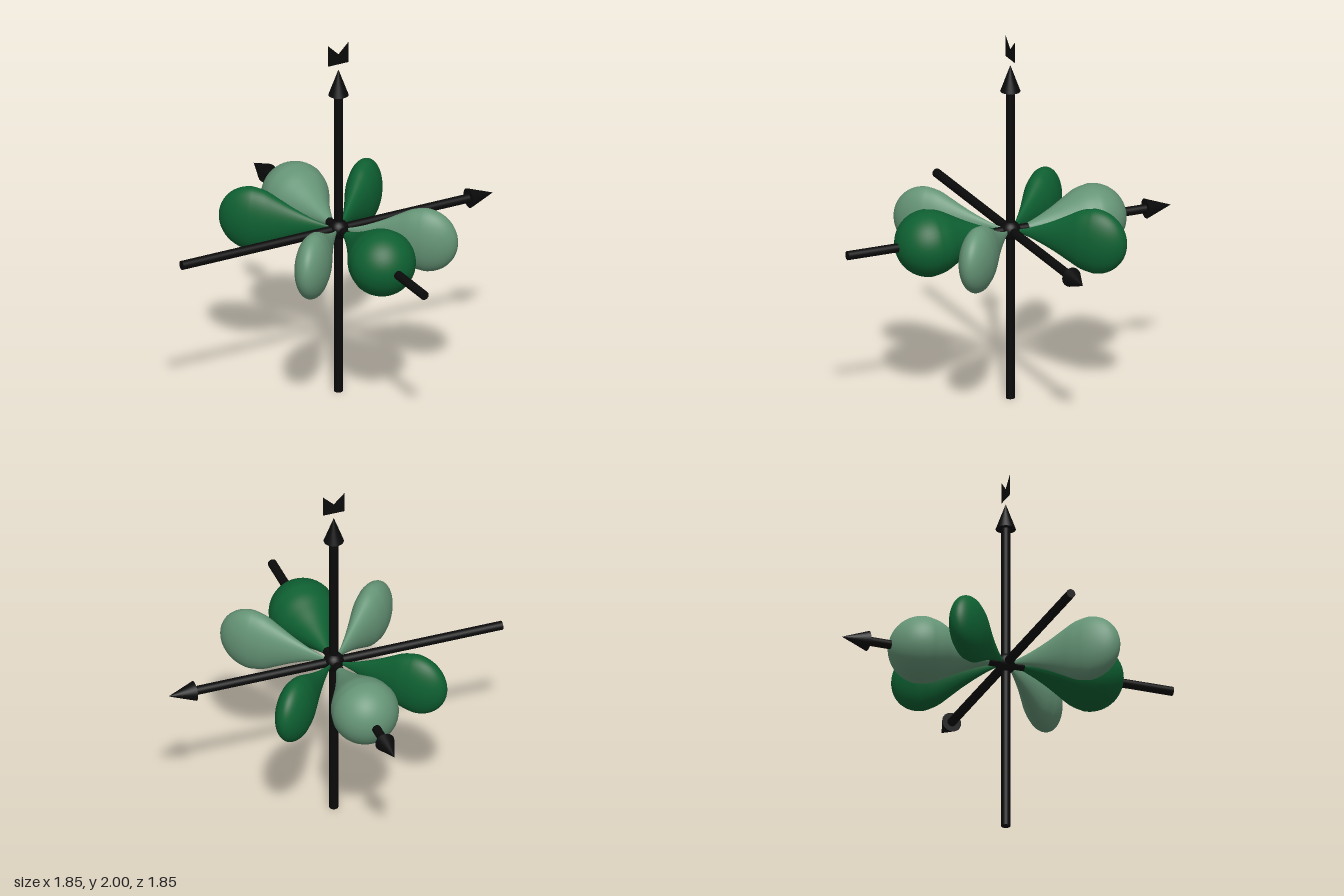
import * as THREE from 'three';

export function createModel() {
  const model = new THREE.Group();
  const material = (name, color, side = THREE.FrontSide) => {
    const m = new THREE.MeshStandardMaterial({ color, side });
    m.name = name;
    return m;
  };
  const black = material('black', 0x0a0a0b, THREE.DoubleSide);
  const darkGreen = material('darkGreen', 0x0e6032);
  const paleGreen = material('paleGreen', 0x659476);

  // everything radiates from this centre
  const core = new THREE.Group();
  core.name = 'core';
  core.position.set(0.004, 0.934, -0.008);
  model.add(core);

  const add = (parent, name, geometry, mat) => {
    const mesh = new THREE.Mesh(geometry, mat);
    mesh.name = name;
    parent.add(mesh);
    return mesh;
  };

  // centre ball
  add(core, 'centreBall', new THREE.SphereGeometry(0.054, 32, 20), black);

  // three arrows, each made along +y and then turned
  const tail = -0.934, tip = 0.918, headLength = 0.145;
  const shaftLength = tip - headLength - tail;
  const shaft = new THREE.CylinderGeometry(0.024, 0.024, shaftLength, 24);
  shaft.translate(0, tail + shaftLength / 2, 0);
  const head = new THREE.ConeGeometry(0.053, headLength, 24);
  head.translate(0, tip - headLength / 2, 0);
  const arrows = [
    ['verticalArrow', 0, 0],
    ['sideArrow', 0, -Math.PI / 2],
    ['depthArrow', -Math.PI / 2, 0],
  ];
  for (const [name, rx, rz] of arrows) {
    const arrow = new THREE.Group();
    arrow.name = name;
    arrow.rotation.set(rx, 0, rz);
    add(arrow, 'shaft', shaft, black);
    add(arrow, 'arrowHead', head, black);
    core.add(arrow);
  }

  // teardrop lobe: a curved taper that ends in a round cap, pointing to +z
  const capCentre = 0.47, capRadius = 0.178;
  const taper = new THREE.SplineCurve([
    [0.0, 0], [0.08, 0.018], [0.16, 0.046], [0.25, 0.086],
    [0.33, 0.128], [0.4, 0.163], [capCentre, capRadius],
  ].map(([along, radius]) => new THREE.Vector2(radius, along)));
  const profile = taper.getPoints(28);
  for (let i = 1; i <= 16; i++) {
    const a = (i / 16) * Math.PI / 2;
    profile.push(new THREE.Vector2(
      i === 16 ? 0 : capRadius * Math.cos(a), capCentre + capRadius * Math.sin(a)));
  }
  const lobe = new THREE.LatheGeometry(profile, 48);
  lobe.rotateX(Math.PI / 2);

  // two round lobes front and back, four flattened ones on the diagonals
  const lobes = [
    ['frontLobe', 0, 1, darkGreen],
    ['backLobe', 180, 1, paleGreen],
    ['frontLeftLobe', 45, 0.5, paleGreen],
    ['frontRightLobe', -45, 0.5, paleGreen],
    ['backLeftLobe', 135, 0.5, darkGreen],
    ['backRightLobe', -135, 0.5, darkGreen],
  ];
  for (const [name, degrees, width, mat] of lobes) {
    const mesh = add(core, name, lobe, mat);
    mesh.rotation.y = THREE.MathUtils.degToRad(degrees);
    mesh.scale.x = width;
  }

  // flat notched marker above the vertical arrow
  const notch = new THREE.Shape([
    [-0.061, 0], [0.061, 0], [0.061, 0.118], [0, 0.058], [-0.061, 0.118],
  ].map(([x, y]) => new THREE.Vector2(x, y)));
  const marker = add(model, 'notchedMarker', new THREE.ShapeGeometry(notch), black);
  marker.position.set(0.004, 1.882, -0.008);

  return model;
}
